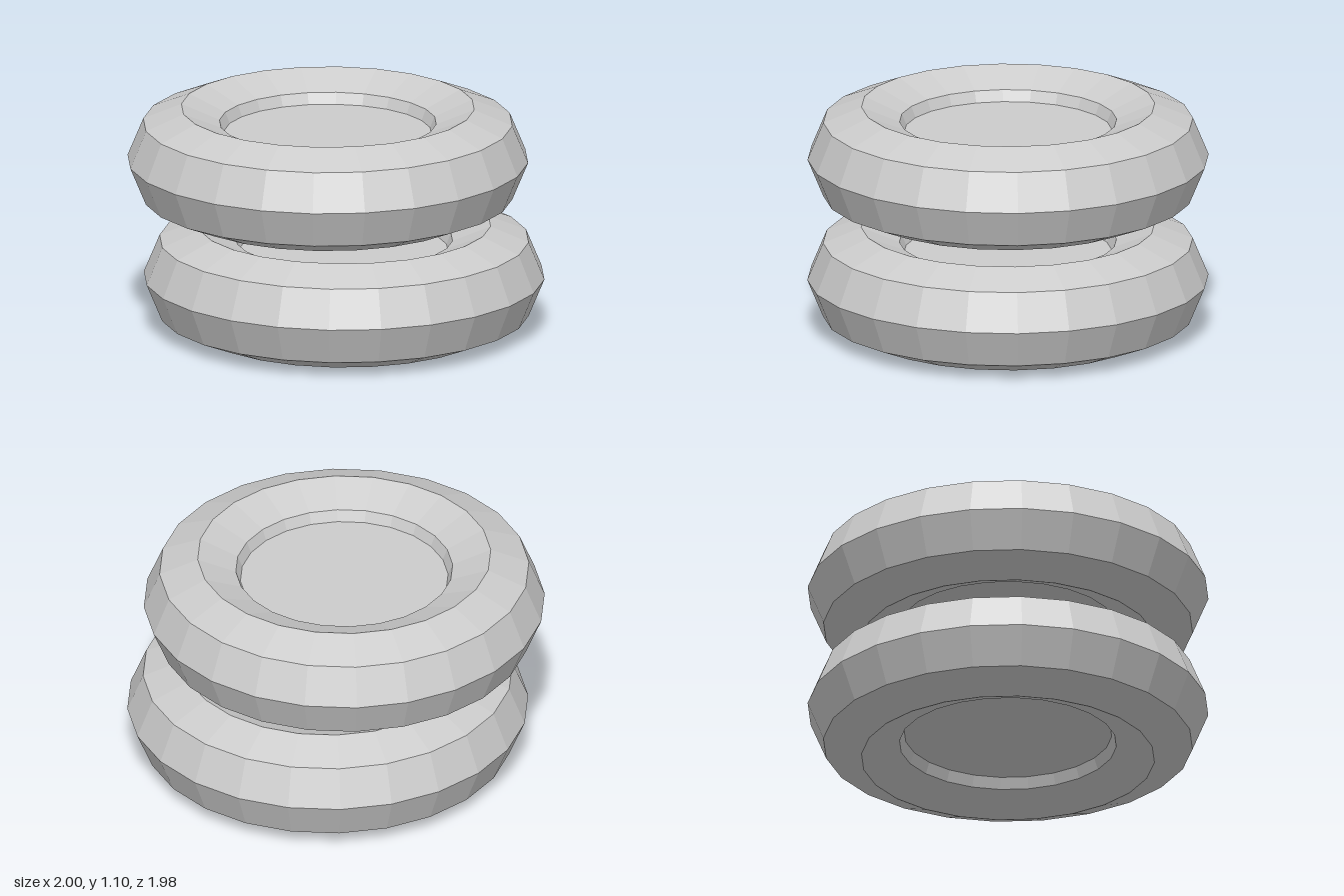
import * as THREE from 'three';

const material = new THREE.MeshStandardMaterial({ color: 0xcccccc, flatShading: true });

// One counter: an eight-sided ring around a recessed disc
function makeCounter(name, x, y, z) {
  const counter = new THREE.Group();
  counter.name = name;

  const ringGeometry = new THREE.TorusGeometry(0.707, 0.26, 8, 24);
  ringGeometry.rotateX(Math.PI / 2);
  const ring = new THREE.Mesh(ringGeometry, material);
  ring.name = 'ring';

  // The disc rim is buried inside the ring
  const disc = new THREE.Mesh(new THREE.CylinderGeometry(0.6, 0.6, 0.26, 24), material);
  disc.name = 'disc';

  counter.add(ring, disc);
  counter.position.set(x, y, z);
  return counter;
}

export function createModel() {
  const model = new THREE.Group();
  model.name = 'stackedCounters';
  // Two equal counters, slightly offset, with a gap between them
  model.add(
    makeCounter('lowerCounter', 0.033, 0.26, 0.022),
    makeCounter('upperCounter', -0.033, 0.84, -0.022)
  );
  return model;
}
